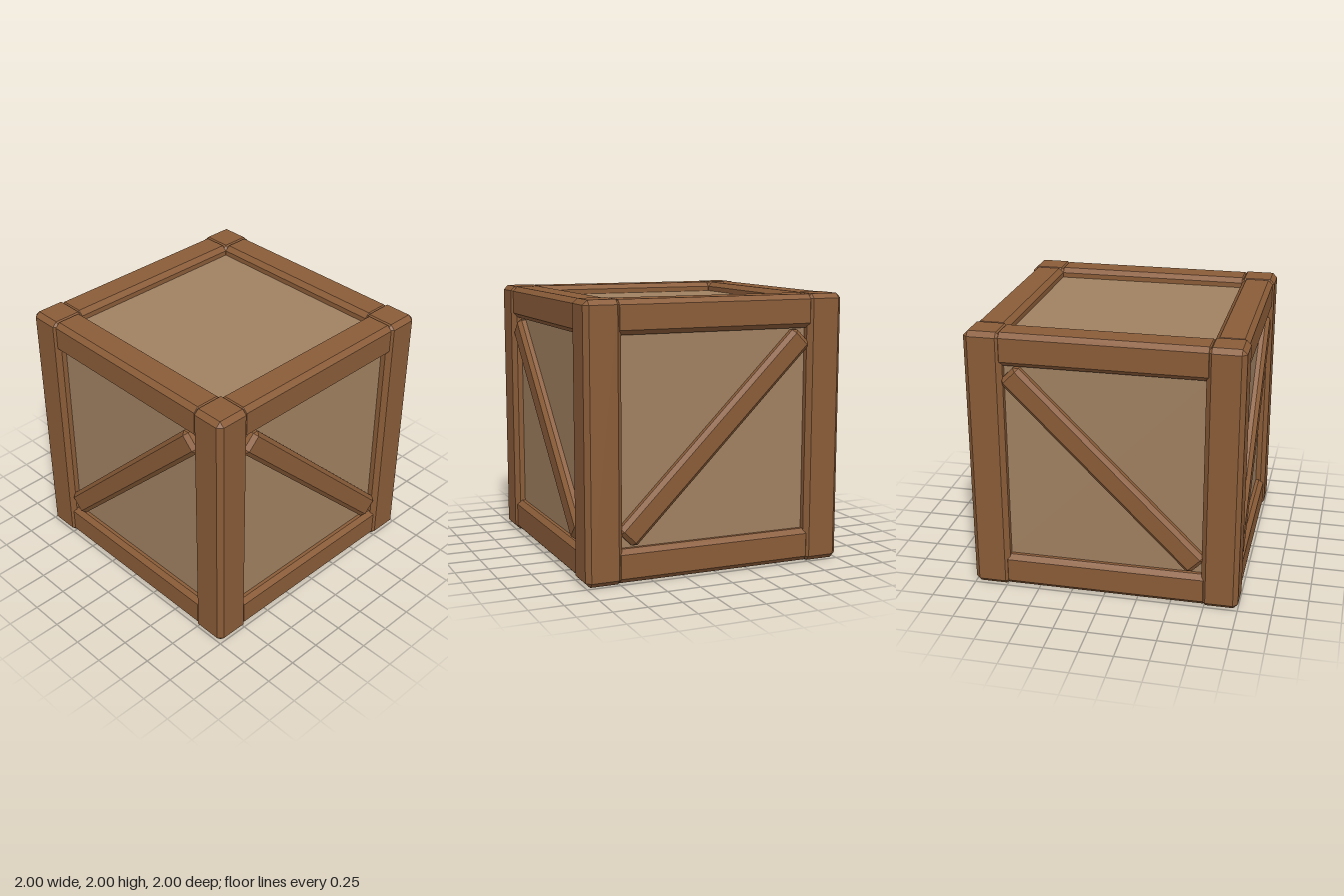
import * as THREE from 'three';
import { ConvexGeometry } from 'three/addons/geometries/ConvexGeometry.js';

const CHAMFER = 0.035;

// Box with every edge bevelled flat: each corner becomes three points
function chamferBox(w, h, d, c = CHAMFER) {
  const points = [];
  const x = w / 2, y = h / 2, z = d / 2;
  for (const sx of [-1, 1]) for (const sy of [-1, 1]) for (const sz of [-1, 1]) {
    points.push(
      new THREE.Vector3(sx * x, sy * (y - c), sz * (z - c)),
      new THREE.Vector3(sx * (x - c), sy * y, sz * (z - c)),
      new THREE.Vector3(sx * (x - c), sy * (y - c), sz * z)
    );
  }
  return new ConvexGeometry(points);
}

export function createModel() {
  const crate = new THREE.Group();
  crate.name = 'crate';

  const frameWood = new THREE.MeshStandardMaterial({ color: 0x8a5c38 });
  frameWood.name = 'frame wood';
  const panelWood = new THREE.MeshStandardMaterial({ color: 0xa08060 });
  panelWood.name = 'panel wood';

  const add = (parent, name, geometry, material, x, y, z) => {
    const mesh = new THREE.Mesh(geometry, material);
    mesh.name = name;
    mesh.position.set(x, y, z);
    parent.add(mesh);
    return mesh;
  };

  // Recessed panels: one inner box shows on all six sides
  add(crate, 'panels', new THREE.BoxGeometry(1.85, 1.85, 1.85), panelWood, 0, 1, 0);

  const postGeometry = chamferBox(0.275, 2, 0.275);
  const railGeometry = chamferBox(1.55, 0.245, 0.245);
  const braceGeometry = chamferBox(1.96, 0.183, 0.18, 0.03);

  // Each side is the same, with the diagonal mirrored on the left and right sides
  ['front', 'left', 'back', 'right'].forEach((name, i) => {
    const side = new THREE.Group();
    side.name = name + 'Side';
    side.rotation.y = i * Math.PI / 2;

    add(side, 'cornerPost', postGeometry, frameWood, 0.8625, 1, 0.8625);
    add(side, 'topRail', railGeometry, frameWood, 0, 1.875, 0.864);
    add(side, 'bottomRail', railGeometry, frameWood, 0, 0.125, 0.864);
    const brace = add(side, 'diagonalBrace', braceGeometry, frameWood, 0, 1.005, 0.9);
    brace.rotation.z = (i % 2 ? -1 : 1) * Math.PI / 4;

    crate.add(side);
  });

  return crate;
}
